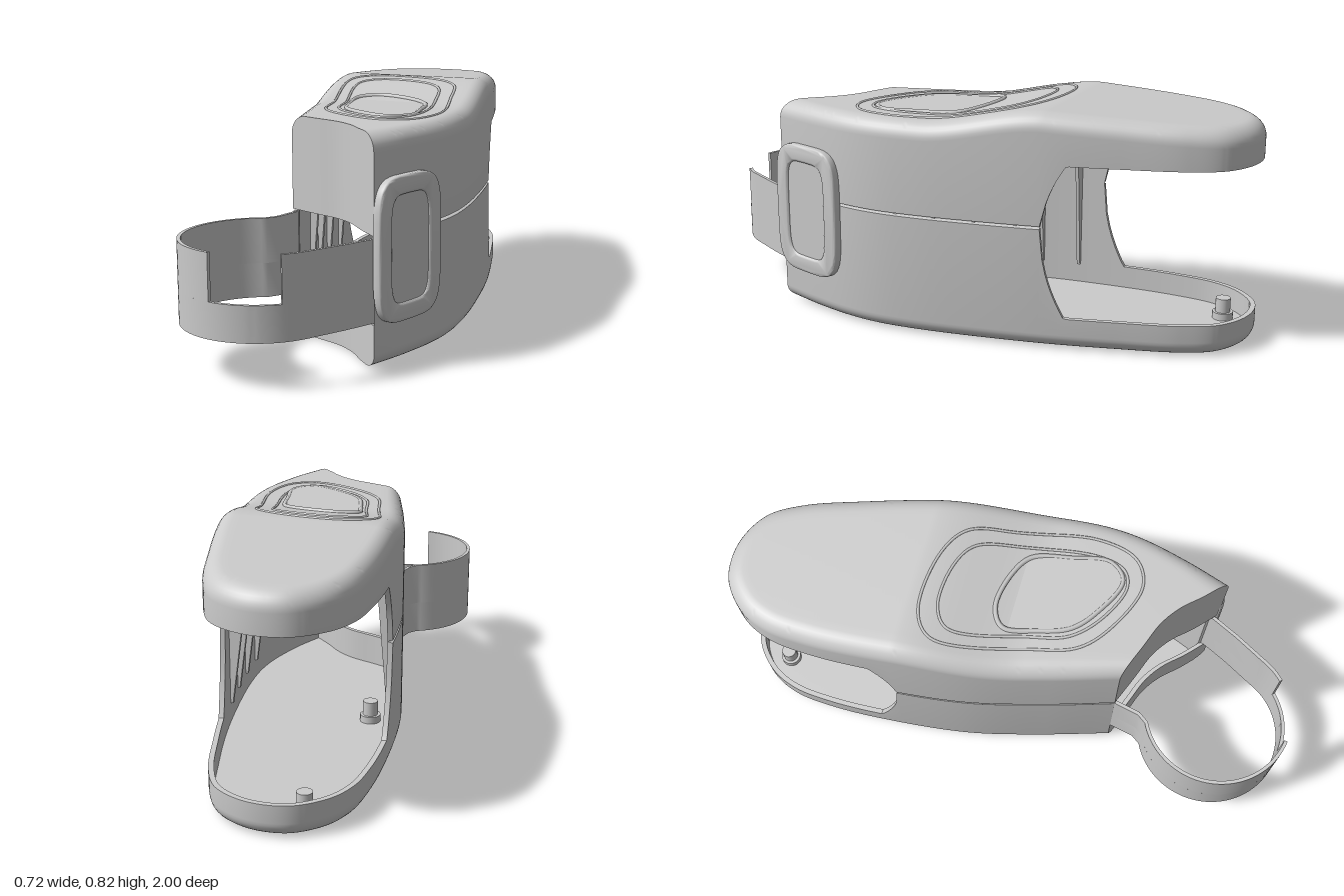
import * as THREE from 'three';
import { toCreasedNormals } from 'three/addons/utils/BufferGeometryUtils.js';

const mat = new THREE.MeshStandardMaterial({ color: 0xcccccc, side: THREE.DoubleSide });
const curve = (pts, closed = false) =>
  new THREE.CatmullRomCurve3(pts.map(([x, z]) => new THREE.Vector3(x, 0, z)), closed);
const lerp = THREE.MathUtils.lerp;

// plan outline: sides run from the front tip round the back to the left corner
const side = curve([[.25, .655], [.3, .5], [.34, .34], [.352, .22], [.345, .08], [.32, -.1], [.265, -.38],
  [.2, -.62], [.135, -.82], [.07, -.93], [-.02, -.985], [-.11, -1], [-.2, -.98], [-.29, -.9],
  [-.335, -.8], [-.35, -.66], [-.345, -.45], [-.31, -.13], [-.24, .15], [-.17, .38]]);
const front = curve([[-.17, .38], [-.06, .425], [.04, .465], [.11, .515], [.17, .58], [.25, .655]]);
const NS = 320, NF = 32, WALL = 0.018;
const sideLen = side.getLength(), frontLen = front.getLength();
const sidePts = side.getSpacedPoints(NS);
const sideTan = sidePts.map((_, i) => side.getTangentAt(i / NS));

// height of the top surface along z
const topY = z => z > -0.36
  ? 0.75 + 0.06 * (1 - THREE.MathUtils.smoothstep(z, -0.36, 0.06))
  : 0.81 - 0.04 * (-0.36 - z) / 0.64;

// outline moved inwards by d; the ends slide along the front curve
function ring(d, inner) {
  const u0 = d * 1.1 / frontLen, u1 = 1 - d * 1.3 / frontLen;
  const ends = [front.getPointAt(u1), front.getPointAt(u0)];
  const out = sidePts.map((p, i) => {
    const t = sideTan[i], s = i / NS * sideLen;
    const atTip = s < sideLen / 2;
    const w = Math.max(0, 1 - (atTip ? s : sideLen - s) / 0.16);
    const e = ends[atTip ? 0 : 1], o = sidePts[atTip ? 0 : NS];
    return [p.x + lerp(t.z * d, e.x - o.x, w),
      p.z + lerp(-t.x * d, e.z - o.z, w) - (inner ? WALL * w : 0)];
  });
  for (let i = 0; i <= NF; i++) {
    const p = front.getPointAt(lerp(u0, u1, i / NF));
    out.push([p.x, p.z - (inner ? WALL : 0)]);
  }
  out.push(out[0]);
  return out;
}

// where the wall of each half ends, per column: seam, grip cut-out or front opening
function edgeY(col, upper, inner) {
  if (col > NS && col <= NS + 1 + NF) return upper ? 0.43 : 0.145;
  const z = sidePts[col > NS ? 0 : col].z;
  if (z > -0.37) return inner ? 0.425 : upper ? 0.43 : 0.42;
  const f = Math.sqrt(Math.min(1, (-0.37 - z) / 0.08));
  return upper ? Math.max(0.43, 0.4 + 0.24 * f) : 0.4 - 0.29 * f;
}

// one hollow half of the case: outer cap, rounded edge, wall, inner wall, inner cap
function shell(upper, r) {
  const rows = [], K = 10;
  const level = inset => z => upper ? topY(z) - inset : inset;
  const spread = (pts, k, yOf) => pts.map(([x, z]) => {
    const sz = THREE.MathUtils.clamp(z, -0.75, 0.35), sx = lerp(-0.1, 0.14, (sz + 0.75) / 1.1);
    const px = lerp(x, sx, k), pz = lerp(z, sz, k);
    return [px, yOf(pz), pz];
  });
  const rim = ring(r), wall = ring(0), lining = ring(WALL, true);
  for (let k = K; k > 0; k--) rows.push(spread(rim, k / K, level(0)));
  for (let j = 0; j <= 8; j++) {
    const a = j / 8 * Math.PI / 2;
    rows.push(spread(ring(r * (1 - Math.sin(a))), 0, level(r * (1 - Math.cos(a)))));
  }
  rows.push(wall.map(([x, z], c) => [x, edgeY(c, upper, false), z]));
  rows.push(lining.map(([x, z], c) => [x, edgeY(c, upper, true), z]));
  for (let k = 0; k <= K; k++) rows.push(spread(lining, k / K, level(0.03)));

  const n = wall.length, index = [];
  for (let i = 0; i < rows.length - 1; i++) for (let c = 0; c < n - 1; c++) {
    const a = i * n + c, b = a + n;
    if (upper) index.push(a, b, b + 1, a, b + 1, a + 1);
    else index.push(a, b + 1, b, a, a + 1, b + 1);
  }
  const g = new THREE.BufferGeometry();
  g.setAttribute('position', new THREE.Float32BufferAttribute(rows.flat(2), 3));
  g.setIndex(index);
  return toCreasedNormals(g, 0.6);
}

// upright band following a plan path
function band(path, y0, y1, t = 0.012) {
  const l = [], r = [];
  path.forEach((p, i) => {
    const a = path[Math.max(0, i - 1)], b = path[Math.min(path.length - 1, i + 1)];
    const n = new THREE.Vector2(b.y - a.y, a.x - b.x).normalize().multiplyScalar(t / 2);
    l.push(p.clone().add(n));
    r.unshift(p.clone().sub(n));
  });
  const g = new THREE.ExtrudeGeometry(new THREE.Shape([...l, ...r]), { depth: y1 - y0, bevelEnabled: false });
  g.rotateX(Math.PI / 2).translate(0, y1, 0);
  return toCreasedNormals(g, 0.5);
}

// rounded outline with gently bowed sides
function padOutline(w, h, n = 48) {
  const pts = [];
  for (let i = 0; i < n; i++) {
    const a = i / n * Math.PI * 2, c = Math.cos(a), s = Math.sin(a);
    pts.push(new THREE.Vector2(Math.sign(c) * Math.abs(c) ** 0.45 * w / 2, Math.sign(s) * Math.abs(s) ** 0.4 * h / 2));
  }
  return pts;
}

export function createModel() {
  const model = new THREE.Group();
  const add = (name, geo, parent = model) => {
    const m = new THREE.Mesh(geo, mat);
    m.name = name;
    parent.add(m);
    return m;
  };
  add('upperCase', shell(true, 0.06));
  add('lowerCase', shell(false, 0.05));

  // outlines on the top and the underside
  const trim = (name, pts, r, yOf) => {
    const c = curve(pts, true);
    const path = new THREE.CatmullRomCurve3(c.getSpacedPoints(80).slice(0, 80).map(p => p.setY(yOf(p.z))), true);
    add(name, new THREE.TubeGeometry(path, 160, r, 6, true));
  };
  trim('outerTrim', [[-.235, -.25], [-.16, -.315], [.06, -.305], [.17, -.24], [.22, -.08], [.275, .19],
    [.24, .33], [.15, .375], [-.02, .31], [-.12, .22], [-.17, .06]], 0.005, topY);
  trim('innerTrim', [[-.185, -.21], [-.12, -.26], [.04, -.25], [.125, -.2], [.175, -.05], [.215, .2],
    [.19, .3], [.13, .325], [0, .27], [-.09, .18], [-.13, .04]], 0.005, topY);
  const buttonPts = [[-.12, -.04], [-.06, -.08], [.07, -.06], [.15, -.01], [.185, .12], [.205, .25],
    [.15, .305], [.02, .25], [-.06, .18], [-.1, .07]];
  trim('buttonRim', buttonPts, 0.009, topY);
  trim('baseTrim', [[-.19, -.28], [-.06, -.34], [.1, -.28], [.18, -.05], [.21, .2], [.13, .3],
    [-.03, .25], [-.12, .1]], 0.004, () => 0.002);
  const button = new THREE.ExtrudeGeometry(
    new THREE.Shape(curve(buttonPts, true).getSpacedPoints(60).map(p => new THREE.Vector2(p.x, p.z))),
    { depth: 0.02, bevelEnabled: false });
  add('button', button.rotateX(Math.PI / 2).translate(0, 0.756, 0));

  // looped strap with a notch in front
  const cx = -0.1, cz = 0.735, R = 0.255;
  const arc = (a, b, n) => Array.from({ length: n + 1 }, (_, i) => {
    const t = lerp(a, b, i / n);
    return new THREE.Vector2(cx + R * Math.cos(t), cz + R * Math.sin(t));
  });
  const v = (x, z) => new THREE.Vector2(x, z);
  const head = [v(-.16, .37), v(-.182, .47)];
  const tail = [v(.19, .74), v(.235, .65), v(.26, .59), v(.305, .45)];
  const T = Math.PI * 2, notchL = 1.73 - T, notchR = 0.84 - T, end = 0.45 - T;
  const strap = new THREE.Group();
  strap.name = 'strap';
  model.add(strap);
  add('strapLower', band([...head, ...arc(-2, end, 60), ...tail], 0.15, 0.267), strap);
  add('strapUpperLeft', band([...head, ...arc(-2, notchL, 36)], 0.267, 0.42), strap);
  add('strapUpperRight', band([...arc(notchR, end, 8), ...tail], 0.267, 0.42), strap);

  // side pad with a recessed panel
  const pad = new THREE.Group();
  pad.name = 'sidePad';
  const rim = new THREE.Shape(padOutline(0.29, 0.45));
  rim.holes.push(new THREE.Path(padOutline(0.21, 0.37).reverse()));
  const rimGeo = new THREE.ExtrudeGeometry(rim,
    { depth: 0.02, bevelThickness: 0.008, bevelSize: 0.01, bevelSegments: 3 });
  add('padRim', toCreasedNormals(rimGeo, 0.7), pad);
  add('padPanel', new THREE.ExtrudeGeometry(new THREE.Shape(padOutline(0.22, 0.38)),
    { depth: 0.02, bevelEnabled: false }), pad);
  pad.position.set(0.294, 0.375, 0.51);
  pad.rotation.y = Math.atan2(0.29, 0.085);
  model.add(pad);

  // tapered ribs on the inner walls
  const wallX = (z, right) => sidePts.reduce((best, p) =>
    (p.x > 0) === right && Math.abs(p.z - z) < Math.abs(best.z - z) ? p : best, { x: 0, z: 9 }).x;
  for (const right of [true, false]) for (const z of [-0.28, -0.14, 0, 0.14]) {
    const g = new THREE.BoxGeometry(1, 0.62, 0.012), p = g.attributes.position;
    const s = right ? -1 : 1, base = wallX(z, right) + s * 0.012;
    for (let i = 0; i < p.count; i++) {
      const depth = p.getY(i) > 0 ? (right ? 0.1 : 0.07) : 0.015;
      p.setX(i, base + (p.getX(i) * s > 0 ? s * depth : 0));
    }
    g.computeVertexNormals();
    add('rib', g.translate(0, 0.41, z));
  }

  // locating pins on floor and ceiling
  for (const [x, z] of [[-0.2, -0.87], [-0.2, -0.13]]) {
    add('floorBoss', new THREE.CylinderGeometry(0.036, 0.036, 0.03, 24).translate(x, 0.04, z));
    add('floorPin', new THREE.CylinderGeometry(0.026, 0.026, 0.07, 24).translate(x, 0.07, z));
    add('ceilingPin', new THREE.CylinderGeometry(0.026, 0.026, 0.05, 24).translate(x, topY(z) - 0.05, z));
  }
  add('screwSeat', new THREE.TorusGeometry(0.02, 0.004, 8, 24).rotateX(Math.PI / 2).translate(-0.2, 0.003, -0.87));
  return model;
}
